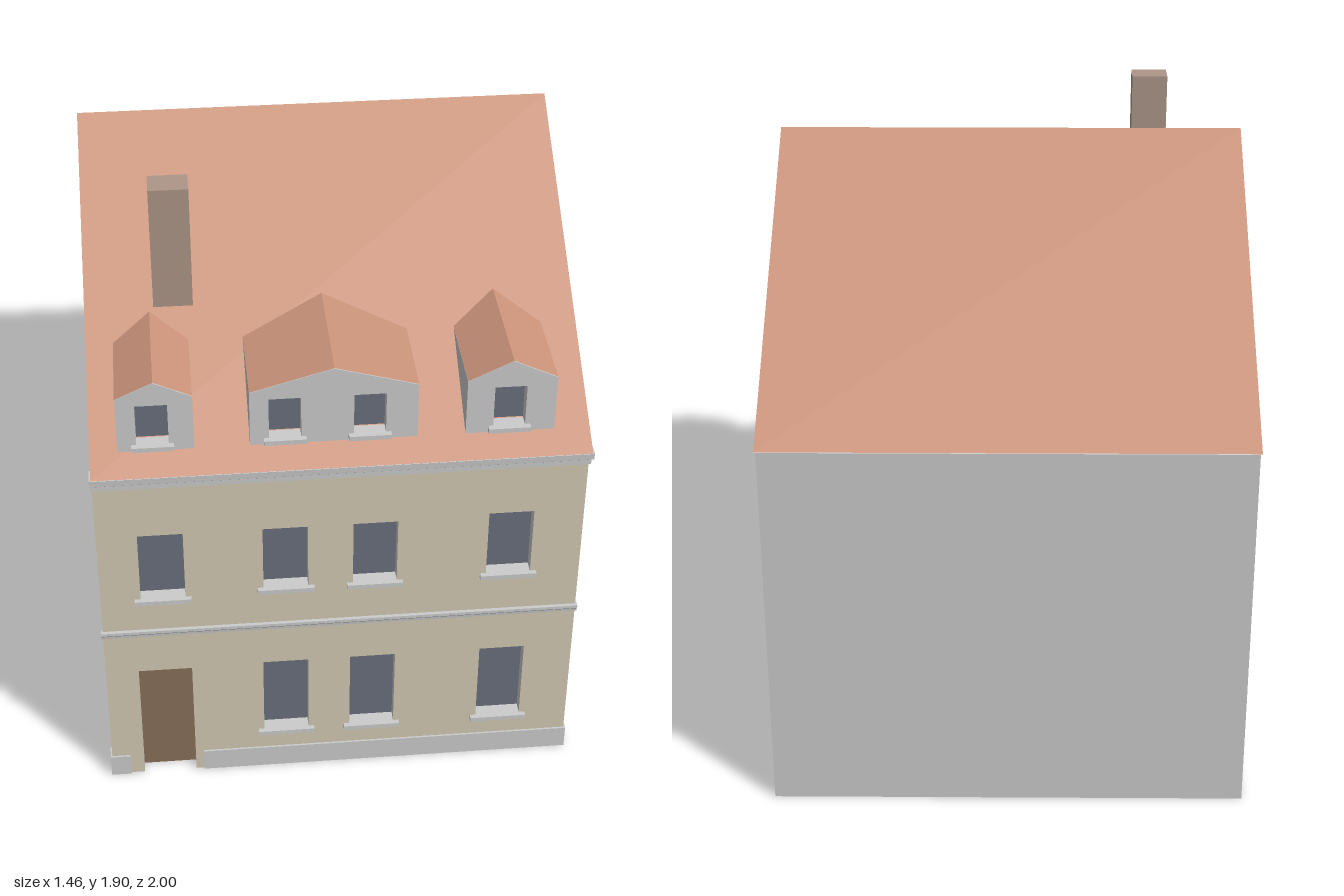
import * as THREE from 'three';

const mat = (color) => new THREE.MeshStandardMaterial({ color, flatShading: true });
const grey = mat(0xcccccc);
const plaster = mat(0xd2cab2);
const tile = mat(0xcb937a);
tile.side = THREE.DoubleSide;
const glass = mat(0x6a6f7c);
const wood = mat(0x88705a);
const brick = mat(0xad9688);

const HALF = 0.725;   // half width of the house
const WALL = 0.957;   // front and back wall planes
const REVEAL = 0.04;  // depth of window and door openings
const EAVE = 1.215;
const RIDGE = 1.865;

export function createModel() {
  const house = new THREE.Group();
  house.name = 'townHouse';

  const add = (name, geometry, material, parent = house) => {
    const mesh = new THREE.Mesh(geometry, material);
    mesh.name = name;
    parent.add(mesh);
    return mesh;
  };
  const box = (name, material, x0, x1, y0, y1, z0, z1, parent) => {
    const g = new THREE.BoxGeometry(x1 - x0, y1 - y0, z1 - z0);
    g.translate((x0 + x1) / 2, (y0 + y1) / 2, (z0 + z1) / 2);
    return add(name, g, material, parent);
  };
  const shapeOf = (points) => new THREE.Shape(points.map(([x, y]) => new THREE.Vector2(x, y)));

  // Profile given as [z, y], extruded along x
  const alongX = (name, profile, x0, x1, material) => {
    const g = new THREE.ExtrudeGeometry(shapeOf(profile.map(([z, y]) => [-z, y])),
      { depth: x1 - x0, bevelEnabled: false });
    g.rotateY(Math.PI / 2).translate(x0, 0, 0);
    return add(name, g, material);
  };
  // Panel in the xy plane with rectangular holes, between two depths
  const panel = (name, outline, openings, z0, z1, materials, parent) => {
    const shape = shapeOf(outline);
    for (const [x0, x1, y0, y1] of openings) {
      shape.holes.push(new THREE.Path([[x0, y0], [x0, y1], [x1, y1], [x1, y0]]
        .map(([x, y]) => new THREE.Vector2(x, y))));
    }
    const g = new THREE.ExtrudeGeometry(shape, { depth: z1 - z0, bevelEnabled: false });
    g.translate(0, 0, z0);
    return add(name, g, materials, parent);
  };
  // Thin open surface: a polyline in xy swept from z0 to z1
  const sheet = (line, z0, z1) => {
    const p = [];
    for (let i = 0; i + 1 < line.length; i++) {
      const [a, b] = [line[i], line[i + 1]];
      p.push(...a, z0, ...a, z1, ...b, z1, ...a, z0, ...b, z1, ...b, z0);
    }
    const g = new THREE.BufferGeometry();
    g.setAttribute('position', new THREE.Float32BufferAttribute(p, 3));
    g.computeVertexNormals();
    return g;
  };
  // Glass pane and sill for an opening in a wall whose face is at z
  const windowFittings = ([x0, x1, y0, y1], z, overhang, sillDepth, parent) => {
    box('windowPane', glass, x0, x1, y0, y1, z - REVEAL - 0.005, z - REVEAL + 0.003, parent);
    box('windowSill', grey, x0 - overhang, x1 + overhang, y0 - 0.006, y0 + 0.009,
      z - REVEAL, z + sillDepth, parent);
  };

  // Solid core with both gables and the rear wall
  const inner = WALL - REVEAL;
  alongX('gabledBody', [[inner, 0], [inner, EAVE], [1, EAVE], [0, RIDGE], [-1, EAVE],
    [-WALL, EAVE], [-WALL, 0]], -HALF, HALF, grey);

  // Roof covering over both slopes
  const roof = add('mainRoof', sheet([[-1, EAVE + 0.002], [0, RIDGE + 0.002], [1, EAVE + 0.002]],
    -HALF, HALF), tile);
  roof.rotation.y = Math.PI / 2;

  // Front wall with door notch and window openings
  const door = [-0.625, -0.46, 0.435];
  const windows = [
    [-0.24, -0.10, 0.147, 0.44], [0.03, 0.17, 0.147, 0.44], [0.435, 0.575, 0.147, 0.44],
    [-0.605, -0.47, 0.718, 0.97], [-0.235, -0.10, 0.735, 0.97],
    [0.035, 0.168, 0.735, 0.97], [0.44, 0.575, 0.74, 0.98],
  ];
  panel('frontWall', [[-HALF, 0], [door[0], 0], [door[0], door[2]], [door[1], door[2]],
    [door[1], 0], [HALF, 0], [HALF, EAVE], [-HALF, EAVE]], windows, inner, WALL, [plaster, grey]);
  windows.forEach((w) => windowFittings(w, WALL, 0.018, 0.015));
  box('frontDoor', wood, door[0], door[1], 0, door[2], inner - 0.005, inner + 0.003);

  // Plinth, interrupted at the door
  box('plinthLeft', grey, -0.73, -0.667, 0, 0.077, inner, WALL + 0.006);
  box('plinthRight', grey, -0.435, 0.73, 0, 0.077, inner, WALL + 0.006);

  // String course and eaves cornice
  alongX('stringCourse', [[0.95, 0.578], [0.96, 0.578], [0.961, 0.587], [0.968, 0.595],
    [0.968, 0.605], [0.95, 0.605]], -0.73, 0.73, grey);
  alongX('eavesCornice', [[0.95, 1.153], [0.967, 1.153], [0.967, 1.172], [0.978, 1.178],
    [0.985, 1.19], [0.998, 1.194], [0.999, 1.216], [0.95, 1.216]], -0.73, 0.73, grey);

  // Dormers: [left edge, right edge, apex height, window left edges]
  const dormerFront = 0.93;
  const dormers = [
    [-0.645, -0.425, 1.497, [-0.59]],
    [-0.265, 0.22, 1.515, [-0.21, 0.035]],
    [0.36, 0.62, 1.508, [0.44]],
  ];
  for (const [x0, x1, apex, lefts] of dormers) {
    const dormer = new THREE.Group();
    dormer.name = 'dormer';
    house.add(dormer);
    const mid = (x0 + x1) / 2, base = 1.262, eave = 1.445;
    const outline = [[x0, base], [x1, base], [x1, eave], [mid, apex], [x0, eave]];
    const openings = lefts.map((x) => [x, x + 0.093, 1.276, 1.42]);
    panel('dormerFront', outline, openings, dormerFront - REVEAL, dormerFront, grey, dormer);
    panel('dormerBody', outline, [], 0.5, dormerFront - REVEAL, grey, dormer);
    add('dormerRoof', sheet([[x1, eave + 0.002], [mid, apex + 0.002], [x0, eave + 0.002]]
      .reverse(), 0.5, dormerFront), tile, dormer);
    openings.forEach((o) => windowFittings(o, dormerFront, 0.015, 0.018, dormer));
  }

  // Chimney
  box('chimney', brick, -0.522, -0.405, 1.45, 1.9, 0.468, 0.555);

  return house;
}
